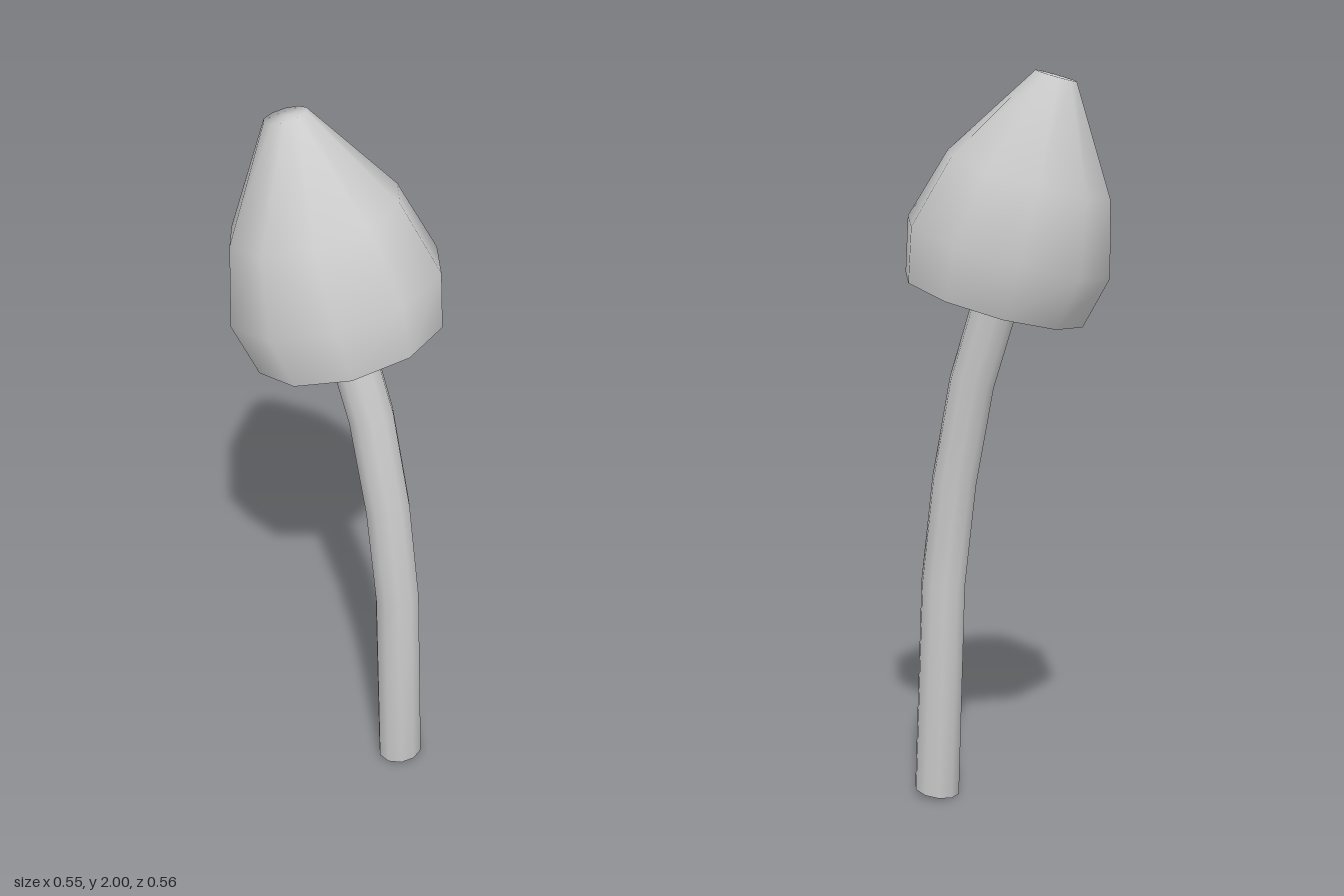
import * as THREE from 'three';

const SIDES = 10;
const PHASE = THREE.MathUtils.degToRad(-8);

// Skins rings { x, y, z, r, tilt } listed from bottom to top; tilt leans a ring toward -x.
// Ends are closed by a fan where asked; all vertices are shared for smooth shading.
function loft(rings, closeBottom, closeTop) {
  const pos = [], index = [];
  for (const { x, y, z, r, tilt } of rings) {
    for (let i = 0; i < SIDES; i++) {
      const a = PHASE + (i / SIDES) * Math.PI * 2;
      const u = Math.cos(a) * r;
      pos.push(x + u * Math.cos(tilt), y + u * Math.sin(tilt), z + Math.sin(a) * r);
    }
  }
  for (let k = 0; k < rings.length - 1; k++) {
    for (let i = 0; i < SIDES; i++) {
      const a = k * SIDES + i, b = k * SIDES + (i + 1) % SIDES;
      index.push(a, a + SIDES, b, b, a + SIDES, b + SIDES);
    }
  }
  const fan = (k, up) => {
    const c = pos.length / 3, { x, y, z } = rings[k];
    pos.push(x, y, z);
    for (let i = 0; i < SIDES; i++) {
      const a = k * SIDES + i, b = k * SIDES + (i + 1) % SIDES;
      if (up) index.push(c, b, a);
      else index.push(c, a, b);
    }
  };
  if (closeBottom) fan(0, false);
  if (closeTop) fan(rings.length - 1, true);
  const g = new THREE.BufferGeometry();
  g.setAttribute('position', new THREE.Float32BufferAttribute(pos, 3));
  g.setIndex(index);
  g.computeVertexNormals();
  return g;
}

export function createModel() {
  const model = new THREE.Group();
  model.name = 'mushroom';
  const material = new THREE.MeshStandardMaterial({ color: 0xcccccc, side: THREE.DoubleSide });
  const add = (name, geometry) => {
    const mesh = new THREE.Mesh(geometry, material);
    mesh.name = name;
    model.add(mesh);
  };

  // Curved stem, ending inside the cap: x, y, z, radius, tilt
  const stem = [
    [0.21, 0.012, 0.01, 0.064, 0.16],
    [0.19, 0.615, 0.017, 0.062, 0.12],
    [0.153, 0.905, 0.01, 0.062, 0.17],
    [0.098, 1.18, 0.002, 0.062, 0.25],
    [0.022, 1.41, -0.01, 0.062, 0.31],
    [-0.035, 1.59, -0.015, 0.06, 0.3],
  ].map(([x, y, z, r, tilt]) => ({ x, y, z, r, tilt }));
  add('stem', loft(stem, true, true));

  // Hollow bell cap leaning on its axis: distance along the axis, radius
  const lean = 0.288;
  const cap = [[0, 0.25], [0.146, 0.283], [0.343, 0.225], [0.605, 0.056]].map(([h, r]) => ({
    x: 0.035 - h * Math.sin(lean), y: 1.405 + h * Math.cos(lean), z: 0, r, tilt: lean,
  }));
  add('cap', loft(cap, false, true));

  return model;
}
